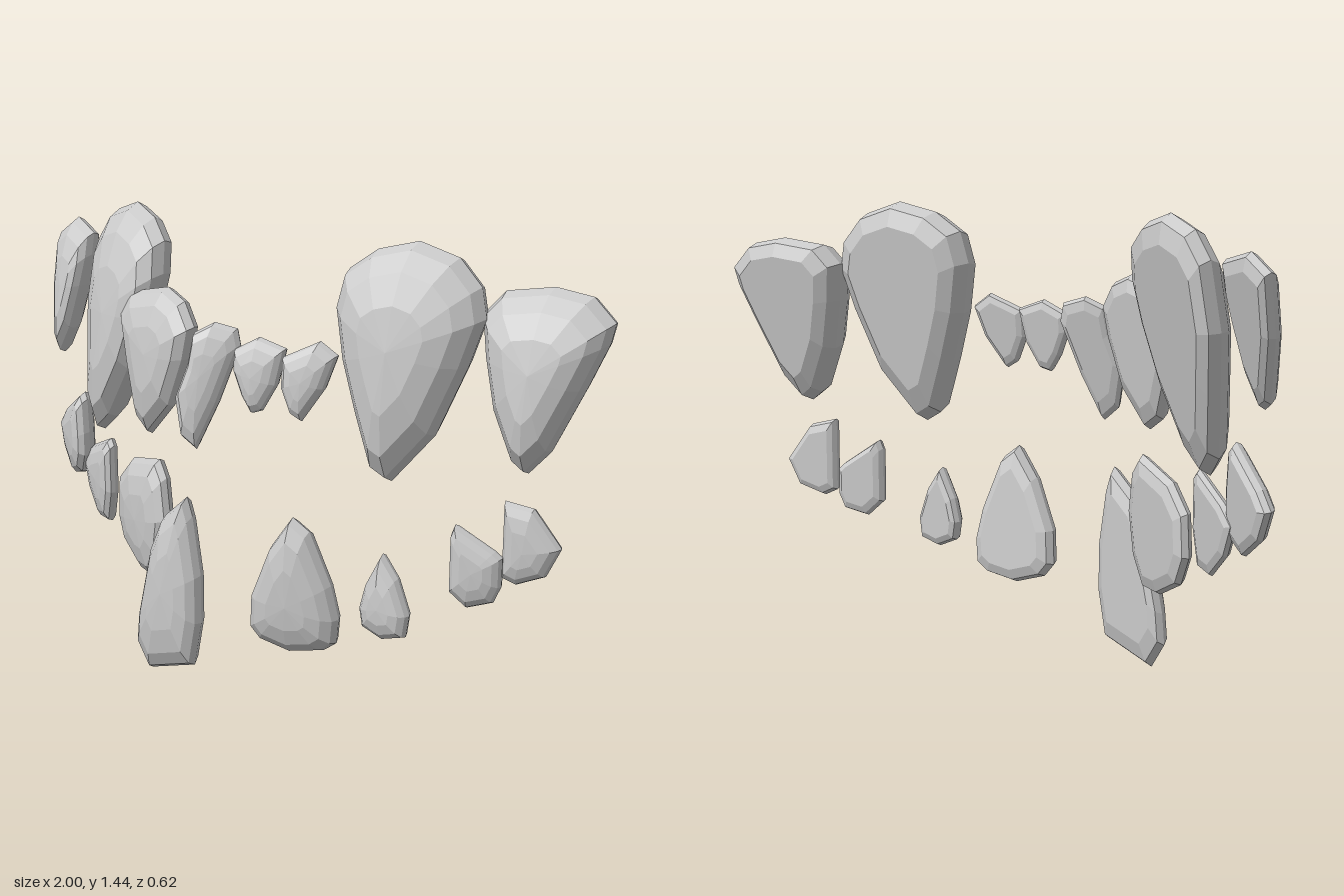
import * as THREE from 'three';

const material = new THREE.MeshStandardMaterial({ color: 0xcccccc, flatShading: true, side: THREE.DoubleSide });

// [outline scale, share of thickness] from the flat back, round the rim, over the domed front
const profile = [[0.74, 0], [0.93, 0.12], [1, 0.36], [0.94, 0.6], [0.76, 0.82], [0.45, 0.96]];

// One tooth. outline: clockwise x, y pairs in hundredths; z: back plane depth at the middle;
// slopeX, slopeY: lean of that plane; thick: bulge of the front.
function tooth(name, outline, z, slopeX, slopeY, thick) {
  const n = outline.length / 2;
  const pts = [];
  for (let i = 0; i < n; i++) pts.push(new THREE.Vector2(outline[2 * i], outline[2 * i + 1]).divideScalar(100));
  const mid = pts.reduce((s, p) => s.add(p), new THREE.Vector2()).divideScalar(n);

  const pos = [], index = [];
  const put = (dx, dy, depth) =>
    pos.push(mid.x + dx, mid.y + dy, z + slopeX * dx + slopeY * dy + depth * thick);
  for (const [s, depth] of profile)
    for (const p of pts) put((p.x - mid.x) * s, (p.y - mid.y) * s, depth);
  const back = profile.length * n, front = back + 1;
  put(0, 0, 0);
  put(0, 0, 1);

  for (let i = 0; i < n; i++) {
    const j = (i + 1) % n;
    for (let k = 0; k < profile.length - 1; k++) {
      const a = k * n, b = a + n;
      index.push(a + j, a + i, b + i, a + j, b + i, b + j);
    }
    const last = (profile.length - 1) * n;
    index.push(back, i, j, front, last + j, last + i);
  }
  const geo = new THREE.BufferGeometry();
  geo.setAttribute('position', new THREE.Float32BufferAttribute(pos, 3));
  geo.setIndex(index);
  geo.computeVertexNormals();
  const mesh = new THREE.Mesh(geo, material);
  mesh.name = name;
  return mesh;
}

export function createModel() {
  const model = new THREE.Group();
  model.name = 'teeth';

  // Upper row, tips down, from the right side to the left
  const upper = new THREE.Group();
  upper.name = 'upperTeeth';
  upper.add(
    tooth('upperRightBackTooth', [-100, 130, -92, 135, -80, 132, -80, 125, -82, 115, -86, 100, -91, 91, -94, 93, -99, 112],
      -0.225, 0.6, -0.25, 0.14),
    tooth('upperRightFang', [-79, 132, -73, 140, -62, 144, -51, 141, -44, 135, -43, 125, -46, 112, -53, 93, -63, 75,
      -70, 69, -75, 75, -78, 93, -81, 112], -0.18, 0.55, -0.2, 0.23),
    tooth('upperRightSideTooth', [-55, 114, -50, 120, -34, 124, -26, 121, -21, 114, -23, 104, -29, 88, -39, 77, -45, 81, -51, 99],
      0.05, 0.35, -0.1, 0.14),
    tooth('upperRightIncisor', [-20, 113, -15, 116, -9, 114, -8, 109, -13, 91, -18, 77, -22, 81, -24, 93, -21, 104],
      0.13, -0.6, -0.12, 0.07),
    tooth('upperMiddleIncisor', [-5, 110, 2, 114, 10, 111, 8, 100, 4, 92, 1, 91, -2, 96, -5, 104],
      0.135, -0.3, -0.1, 0.065),
    tooth('upperLeftIncisor', [12, 110, 22, 115, 27, 111, 24, 101, 18, 91, 15, 93, 12, 101],
      0.135, -0.4, -0.1, 0.065),
    tooth('upperLeftFang', [23, 125, 25, 135, 33, 141, 45, 144, 57, 140, 64, 132, 66, 123, 62, 109, 54, 88,
      42, 73, 37, 76, 31, 93, 26, 109], -0.08, -0.2, -0.12, 0.225),
    tooth('upperLeftBackTooth', [63, 124, 68, 130, 82, 132, 93, 130, 100, 123, 99, 117, 94, 104, 86, 85, 80, 78, 76, 81, 69, 96, 65, 112],
      -0.21, -0.2, -0.17, 0.21),
  );

  // Lower row, tips up
  const lower = new THREE.Group();
  lower.name = 'lowerTeeth';
  lower.add(
    tooth('lowerRightBackTooth', [-99, 65, -94, 70, -79, 80, -77, 78, -76, 67, -76, 59, -79, 52, -86, 49, -95, 56],
      -0.155, 0.8, 0, 0.12),
    tooth('lowerRightSideTooth', [-82, 57, -76, 62, -62, 69, -60, 67, -60, 51, -63, 40, -70, 39, -78, 47],
      -0.055, 0.7, 0, 0.09),
    tooth('lowerRightFang', [-61, 56, -53, 64, -36, 69, -32, 64, -30, 51, -33, 37, -39, 28, -47, 28, -58, 34, -62, 43],
      0.03, 0.6, 0, 0.12),
    tooth('lowerRightIncisor', [-41, 8, -40, 18, -34, 43, -29, 54, -20, 62, -18, 56, -15, 37, -15, 21, -18, 6, -36, 0],
      0.165, 0.15, 0, 0.12),
    tooth('lowerLeftIncisor', [5, 26, 6, 37, 13, 54, 20, 64, 25, 60, 31, 43, 33, 32, 32, 24, 28, 21, 18, 19, 8, 22],
      0.19, -0.15, 0.1, 0.12),
    tooth('lowerLeftFang', [39, 37, 41, 45, 46, 55, 51, 48, 55, 37, 54, 30, 47, 28, 40, 31],
      0.15, 0, 0, 0.085),
    tooth('lowerLeftSideTooth', [63, 61, 64, 64, 75, 56, 77, 54, 77, 45, 75, 40, 68, 38, 63, 43],
      0.02, -0.4, 0, 0.075),
    tooth('lowerLeftBackTooth', [76, 71, 84, 69, 92, 57, 88, 48, 80, 45, 76, 47],
      -0.06, -0.35, 0, 0.075),
  );

  model.add(upper, lower);
  return model;
}
